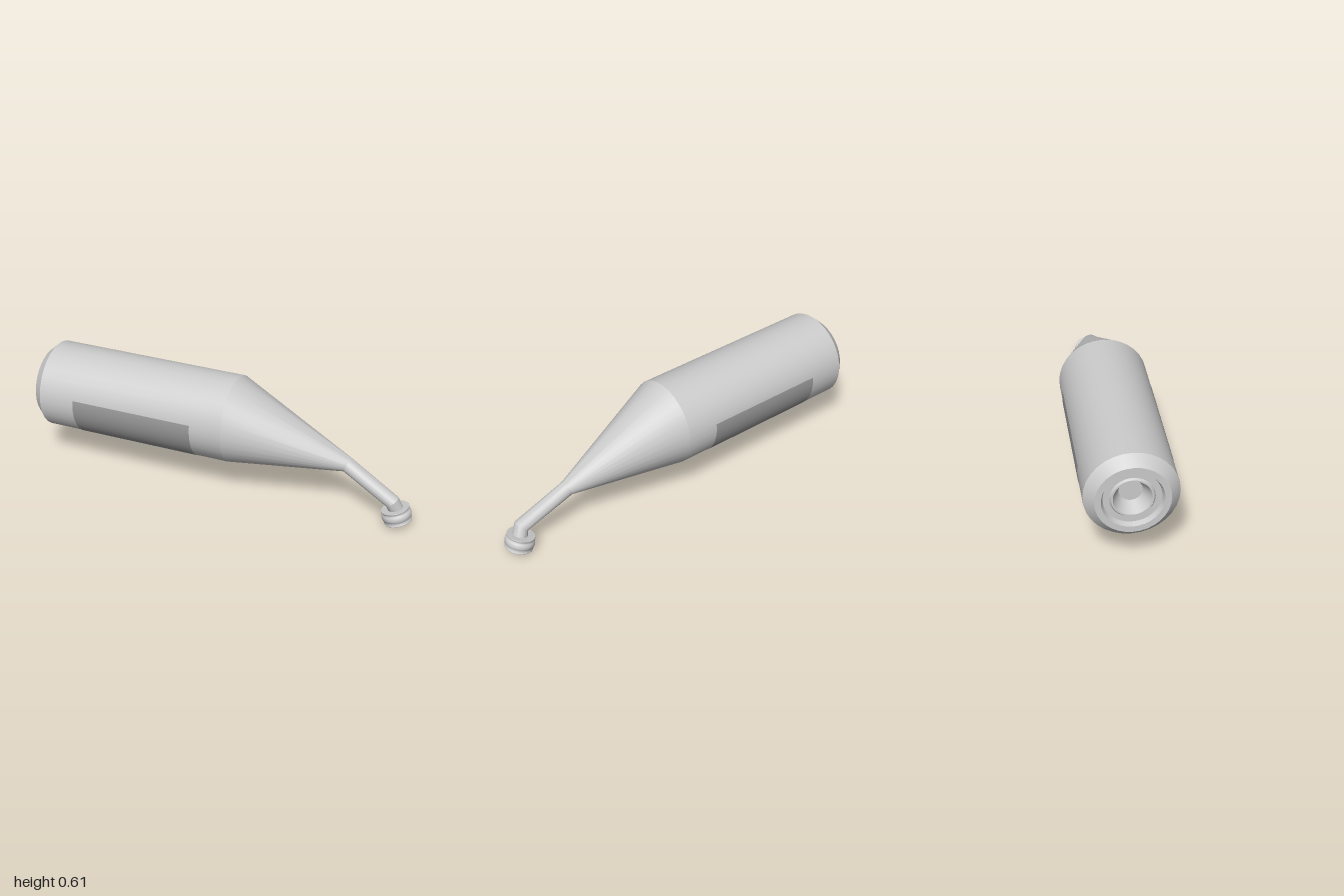
import * as THREE from 'three';
import { toCreasedNormals } from 'three/addons/utils/BufferGeometryUtils.js';

const grey = new THREE.MeshStandardMaterial({ color: 0xcccccc });
const darkGrey = new THREE.MeshStandardMaterial({ color: 0x999999, side: THREE.DoubleSide });

function part(name, geometry, material = grey) {
  const mesh = new THREE.Mesh(geometry, material);
  mesh.name = name;
  return mesh;
}

function lathe(name, profile, segments, crease = 0.45) {
  const points = profile.map(([r, y]) => new THREE.Vector2(r, y));
  return part(name, toCreasedNormals(new THREE.LatheGeometry(points, segments), crease));
}

// Skin over tilted rings; each ring has a centre and two half-axes, u and v.
function loft(name, rings, segments) {
  const positions = [], index = [];
  for (const { c, u, v } of rings) {
    for (let j = 0; j < segments; j++) {
      const a = (j / segments) * Math.PI * 2;
      for (let k = 0; k < 3; k++) positions.push(c[k] + u[k] * Math.cos(a) + v[k] * Math.sin(a));
    }
  }
  for (let i = 0; i < rings.length - 1; i++) {
    for (let j = 0; j < segments; j++) {
      const a = i * segments + j, b = i * segments + ((j + 1) % segments);
      index.push(a, b, a + segments, b, b + segments, a + segments);
    }
  }
  const geometry = new THREE.BufferGeometry();
  geometry.setAttribute('position', new THREE.Float32BufferAttribute(positions, 3));
  geometry.setIndex(index);
  return part(name, toCreasedNormals(geometry, 0.5));
}

export function createModel() {
  const model = new THREE.Group();
  const axisY = 0.393, radius = 0.222;

  // Cylinder body with chamfered end and recessed socket
  const body = lathe('body', [
    [0, -0.92], [0.055, -0.92], [0.09, -0.985], [0.098, -0.985],
    [0.105, -0.975], [0.135, -0.975], [0.145, -1], [0.175, -1],
    [radius, -0.95], [radius, 0.055],
  ], 32);
  body.rotation.z = -Math.PI / 2;
  body.position.y = axisY;
  model.add(body);

  // Thin panel wrapped around the underside
  const panel = part('undersidePanel', new THREE.CylinderGeometry(
    0.2238, 0.2238, 0.65, 64, 1, true, -0.167, Math.PI + 0.334), darkGrey);
  panel.rotation.z = -Math.PI / 2;
  panel.position.set(-0.435, axisY, 0);
  model.add(panel);

  // Slanted cone narrowing to the bent neck
  const shoulder = { c: [0.055, axisY, 0], u: [0, radius, 0], v: [0, 0, radius] };
  const neckStart = { c: [0.647, 0.263, 0.002], u: [0.015, 0.036, 0], v: [0, 0, 0.04] };
  const elbow = { c: [0.897, 0.129, 0.039], u: [0.028, 0.024, 0], v: [0, 0, 0.041] };
  const neckEnd = { c: [0.918, 0.08, 0.027], u: [0.036, 0.011, 0], v: [0, 0, 0.039] };
  model.add(loft('cone', [shoulder, neckStart], 32));
  model.add(loft('neck', [neckStart, elbow, neckEnd], 32));

  // Ribbed nozzle with a hollow mouth
  const nozzle = lathe('nozzle', [
    [0, 0.035], [0.027, 0.035], [0.03, 0.006], [0.033, 0.003], [0.037, 0.005],
    [0.041, 0.013], [0.055, 0.013], [0.07, 0], [0.071, 0.003],
    [0.066, 0.013], [0.067, 0.018], [0.073, 0.024], [0.075, 0.032], [0.075, 0.042],
    [0.073, 0.05], [0.067, 0.056], [0.066, 0.061],
    [0.071, 0.07], [0.07, 0.073], [0, 0.073],
  ], 32, 0.75);
  nozzle.rotation.z = 0.29;
  nozzle.position.set(0.93, 0.021, 0.027);
  model.add(nozzle);

  return model;
}
